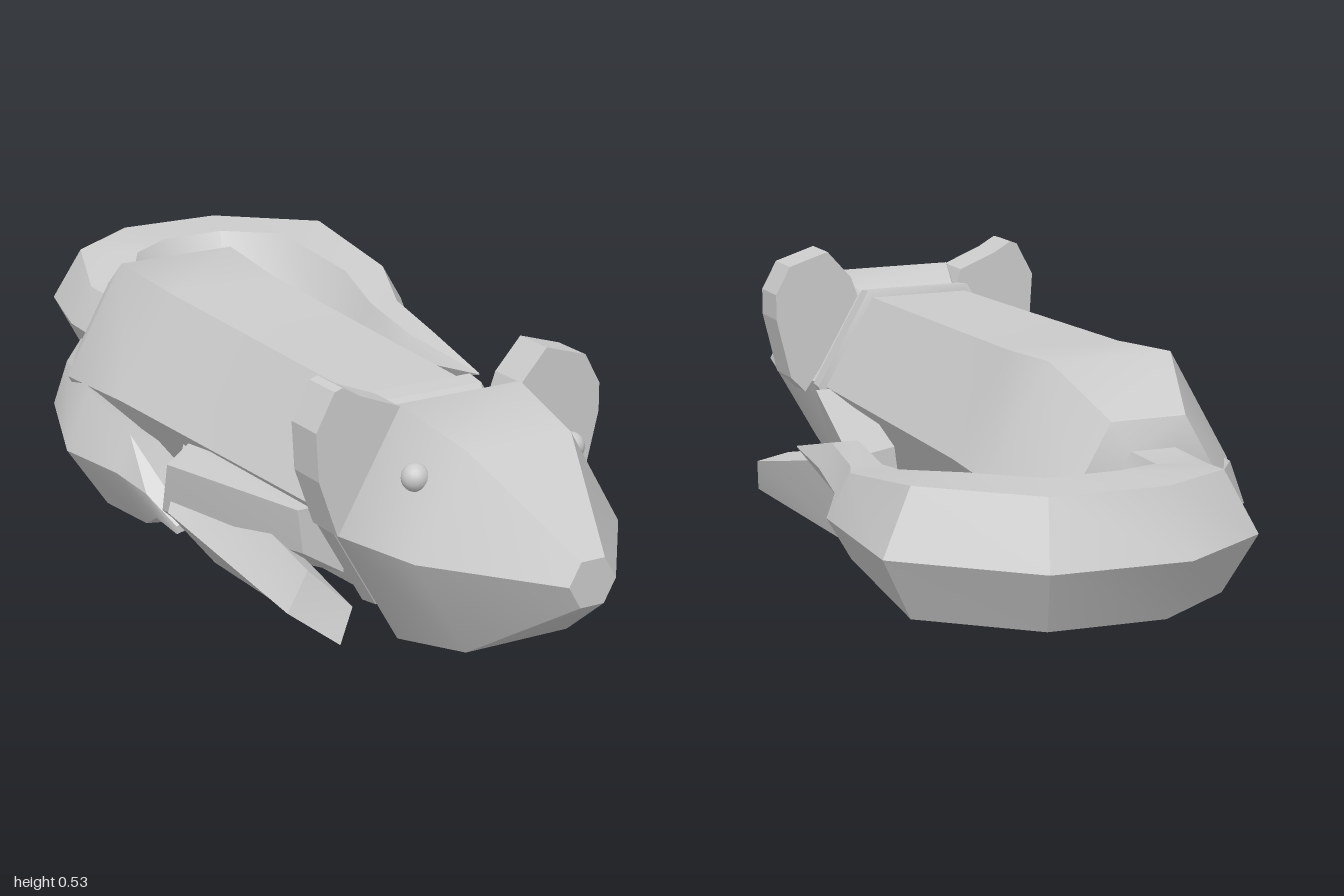
import * as THREE from 'three';
import { toCreasedNormals } from 'three/addons/utils/BufferGeometryUtils.js';

const CX = -0.15, CY = 0.27; // body axis
const mat = new THREE.MeshStandardMaterial({ color: 0xcccccc });

function add(group, name, geometry) {
  const mesh = new THREE.Mesh(geometry, mat);
  mesh.name = name;
  group.add(mesh);
  return mesh;
}

// Skin between rings of [x, y, z] points, with closed ends.
function loft(rings) {
  const pos = [], n = rings[0].length;
  const tri = (a, b, c) => pos.push(...a, ...b, ...c);
  for (let i = 0; i < rings.length - 1; i++) {
    for (let j = 0; j < n; j++) {
      const k = (j + 1) % n, p = rings[i], q = rings[i + 1];
      tri(p[j], q[j], p[k]);
      tri(p[k], q[j], q[k]);
    }
  }
  const first = rings[0], last = rings[rings.length - 1];
  for (let j = 1; j < n - 1; j++) {
    tri(first[0], first[j], first[j + 1]);
    tri(last[0], last[j + 1], last[j]);
  }
  const g = new THREE.BufferGeometry();
  g.setAttribute('position', new THREE.Float32BufferAttribute(pos, 3));
  return toCreasedNormals(g, 0.6);
}

// Hexagonal tube along a level path of [x, z, radius].
function hexTube(path) {
  return loft(path.map(([x, z, r], i) => {
    const a = path[Math.max(i - 1, 0)], b = path[Math.min(i + 1, path.length - 1)];
    const dx = b[0] - a[0], dz = b[1] - a[1], len = Math.hypot(dx, dz);
    return Array.from({ length: 6 }, (_, j) => {
      const t = j * Math.PI / 3, s = r * Math.cos(t);
      return [x - s * dz / len, CY + r * Math.sin(t), z + s * dx / len];
    });
  }));
}

const straight = (sections) => hexTube(sections.map(([z, r]) => [CX, z, r]));

export function createModel() {
  const model = new THREE.Group();
  model.name = 'lyingMouse';

  add(model, 'head', straight([[1, 0.045], [0.79, 0.2], [0.61, 0.24], [0.53, 0.2]]));
  add(model, 'collar', straight([[0.525, 0.2], [0.515, 0.21], [0.475, 0.215], [0.47, 0.2]]));
  add(model, 'neck', straight([[0.55, 0.19], [0.46, 0.19]]));
  add(model, 'body', straight([[0.48, 0.2], [0.2, 0.208], [-0.2, 0.22], [-0.39, 0.237], [-0.54, 0.143], [-0.56, 0.085]]));

  // Curled tail
  add(model, 'tail', hexTube([
    [-0.15, -0.54, 0.085], [-0.145, -0.68, 0.085], [-0.085, -0.81, 0.12],
    [0.03, -0.875, 0.127], [0.2, -0.87, 0.127], [0.335, -0.75, 0.127],
    [0.35, -0.52, 0.085], [0.305, -0.37, 0.055], [0.265, -0.17, 0.05], [0.29, 0, 0.002],
  ]));

  // Ears: outlines facing forward, tilted a little differently
  const ears = {
    leftEar: [[-0.05, 0.42], [0.07, 0.25], [0.1, 0.28], [0.13, 0.4], [0.13, 0.45], [0.1, 0.505], [0.02, 0.53], [-0.03, 0.475]],
    rightEar: [[-0.36, 0.25], [-0.25, 0.42], [-0.27, 0.475], [-0.345, 0.505], [-0.38, 0.525], [-0.395, 0.52], [-0.43, 0.455], [-0.425, 0.37], [-0.39, 0.27]],
  };
  for (const [name, outline] of Object.entries(ears)) {
    const shape = new THREE.Shape(outline.map(([x, y]) => new THREE.Vector2(x, y)));
    const g = new THREE.ExtrudeGeometry(shape, { depth: 0.08, bevelEnabled: false });
    add(model, name, g.translate(0, 0, 0.535));
  }

  // Eyes
  for (const side of [1, -1]) {
    const eye = add(model, side > 0 ? 'leftEye' : 'rightEye', new THREE.SphereGeometry(0.024, 16, 12));
    eye.position.set(CX + side * 0.153, 0.388, 0.715);
  }

  // Front legs: forearm from paw to elbow, upper arm from shoulder to elbow
  const at = (z, pts) => pts.map(([x, y, dz = 0]) => [x, y, z + dz]);
  add(model, 'leftForearm', loft([
    at(0.52, [[0.08, 0.05, 0.05], [0.16, 0.05, 0.05], [0.18, 0.12], [0.11, 0.13, 0.01]]),
    at(0.06, [[0.05, 0.05, 0.02], [0.14, 0.04], [0.165, 0.22], [0.07, 0.235, 0.03]]),
  ]));
  add(model, 'leftUpperArm', loft([
    at(0.45, [[-0.02, 0.14], [0.05, 0.16], [0.08, 0.27], [0, 0.27]]),
    at(0.07, [[0.05, 0.08], [0.13, 0.08], [0.16, 0.22], [0.07, 0.235]]),
  ]));
  add(model, 'rightForearm', loft([
    at(0.5, [[-0.42, 0.1], [-0.34, 0.04, 0.04], [-0.31, 0.1, 0.03], [-0.38, 0.17]]),
    at(0.08, [[-0.44, 0.15, 0.04], [-0.33, 0.035], [-0.33, 0.22], [-0.38, 0.265, -0.02], ]
      .map((p, i) => (i === 0 ? [-0.45, 0.17, 0.05] : p))),
  ]));
  add(model, 'rightUpperArm', loft([
    at(0.45, [[-0.36, 0.18], [-0.28, 0.13], [-0.28, 0.26], [-0.37, 0.26]]),
    at(0.09, [[-0.44, 0.16], [-0.35, 0.08], [-0.37, 0.265, -0.03], [-0.45, 0.26, 0.04]]),
  ]));

  // Hind legs: faceted haunches tapering to a foot in front
  const haunch = [
    [0.04, [[0.05, 0.05], [0.07, 0.045], [0.07, 0.06], [0.05, 0.07], [0.04, 0.06]]],
    [-0.02, [[0.01, 0.05], [0.08, 0.06], [0.1, 0.11], [0.07, 0.13], [0, 0.1]]],
    [-0.1, [[0.02, 0.015], [0.06, 0.02], [0.12, 0.13], [0.09, 0.2], [-0.04, 0.15]]],
    [-0.26, [[0.02, 0], [0.06, 0.01], [0.142, 0.13], [0.09, 0.24], [-0.06, 0.16]]],
    [-0.42, [[-0.02, 0.08], [0.03, 0.08], [0.09, 0.17], [0.06, 0.25], [-0.08, 0.17]]],
    [-0.54, [[-0.06, 0.145], [-0.04, 0.145], [-0.01, 0.2], [-0.03, 0.25], [-0.08, 0.2]]],
  ];
  const leftRings = haunch.map(([z, pts]) => at(z, pts));
  add(model, 'leftHaunch', loft(leftRings));
  add(model, 'rightHaunch', loft(leftRings.map((ring) =>
    ring.map(([x, y, z]) => [2 * CX - x, y + 0.03, z - 0.03]).reverse())));

  return model;
}
